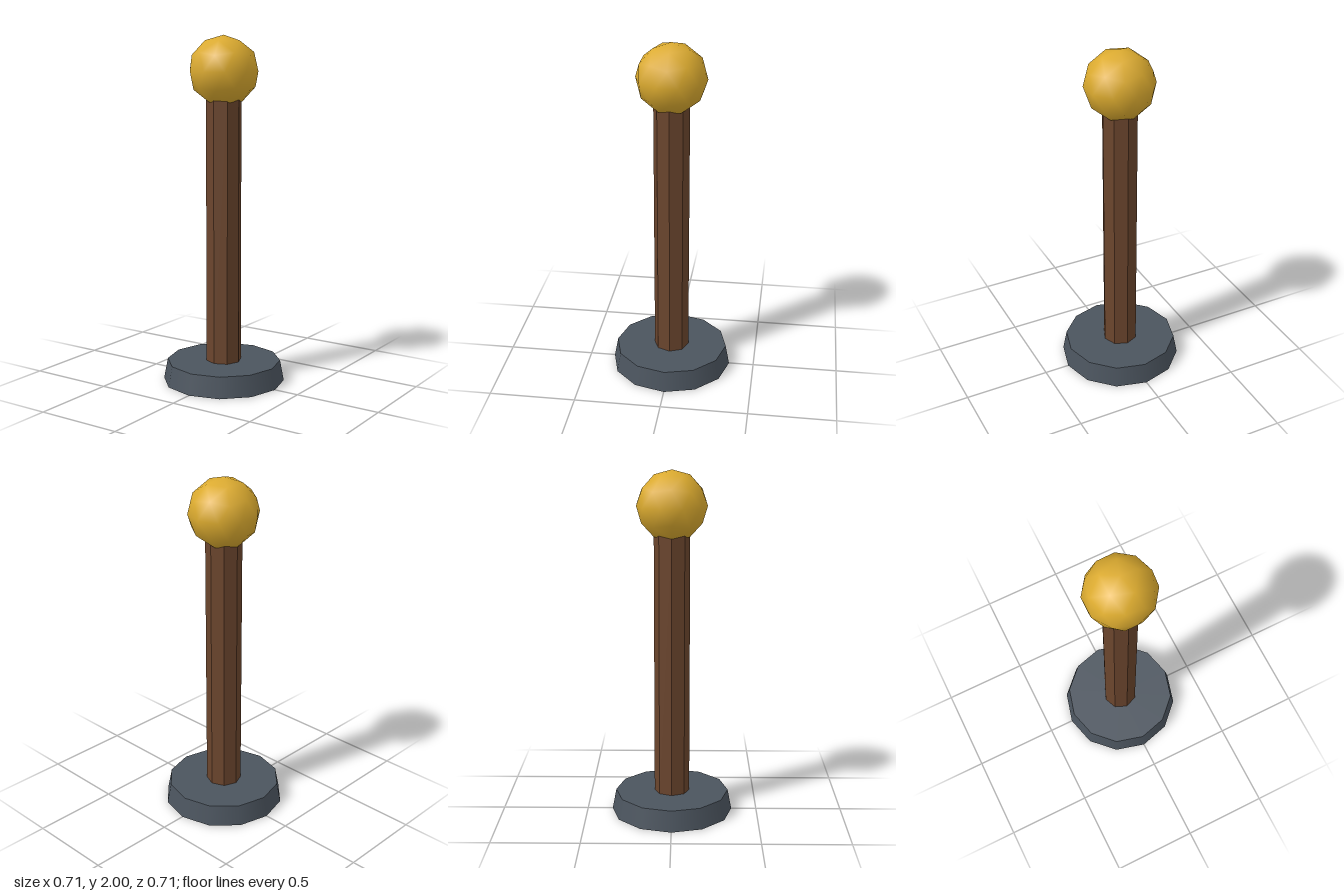
import * as THREE from 'three';

const material = (name, color) => {
  const m = new THREE.MeshStandardMaterial({ color });
  m.name = name;
  return m;
};

export function createModel() {
  const model = new THREE.Group();
  model.name = 'bollard';

  const slate = material('slate', 0x4b545e);
  const wood = material('wood', 0x6b452d);
  wood.flatShading = true; // crisp eight-sided post
  const gold = material('gold', 0xdcab2f);

  const add = (name, geometry, mat, y) => {
    const mesh = new THREE.Mesh(geometry, mat);
    mesh.name = name;
    mesh.position.y = y;
    model.add(mesh);
  };

  // Tapered twelve-sided foot
  add('base', new THREE.CylinderGeometry(0.33, 0.353, 0.12, 12), slate, 0.06);

  // Octagonal post, from inside the foot into the ball
  add('post', new THREE.CylinderGeometry(0.102, 0.102, 1.6, 8), wood, 0.9);

  // Smooth low-poly ball, turned so a corner points straight up
  const ball = new THREE.IcosahedronGeometry(0.2, 1);
  ball.rotateZ(-Math.atan(2 / (1 + Math.sqrt(5))));
  add('ball', ball, gold, 1.8);

  return model;
}
